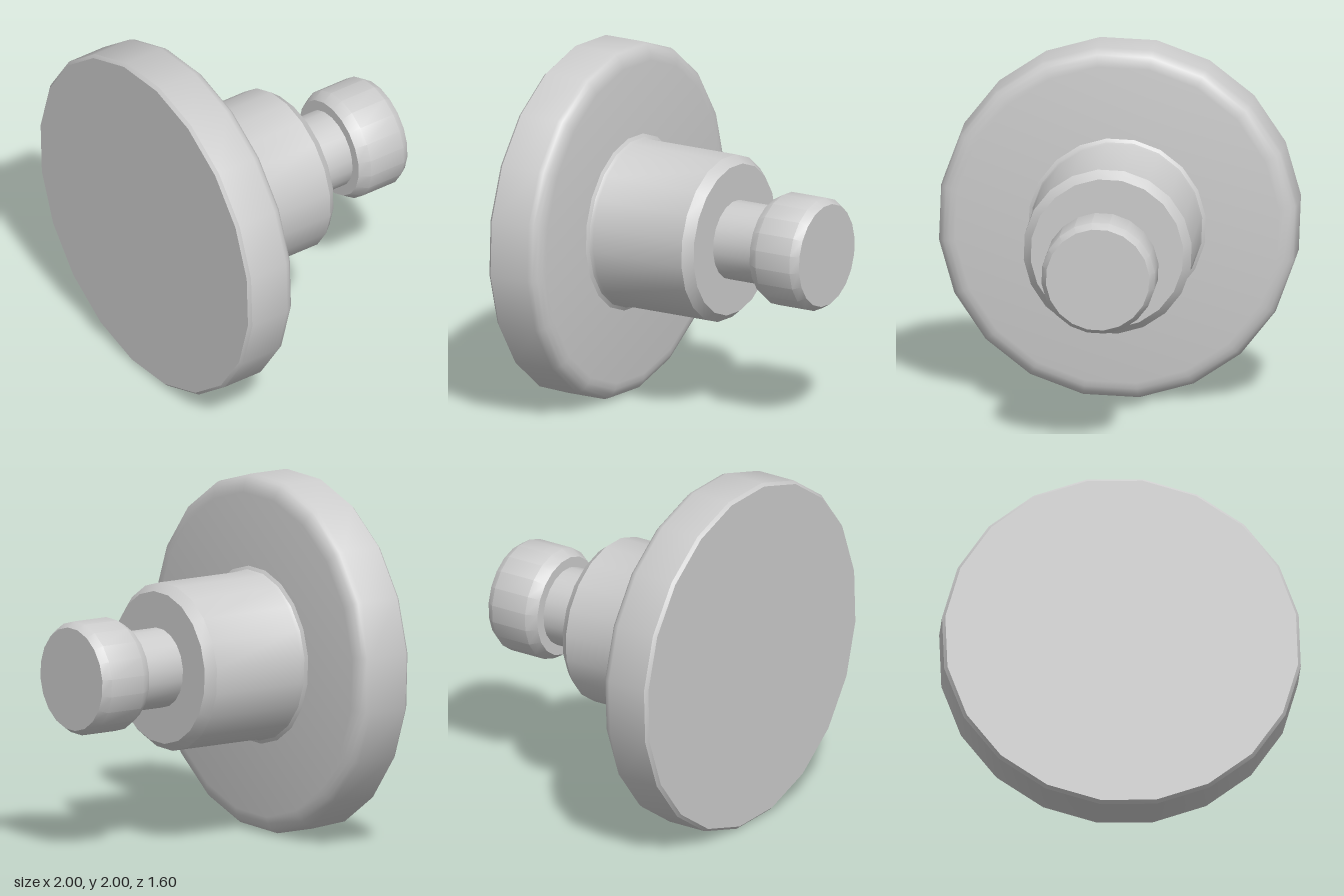
import * as THREE from 'three';
import { toCreasedNormals } from 'three/addons/utils/BufferGeometryUtils.js';

const SIDES = 20;
const TURN = THREE.MathUtils.degToRad(11.2); // where the first corner of the polygon sits

export function createModel() {
  const group = new THREE.Group();
  group.name = 'knob';
  const material = new THREE.MeshStandardMaterial({ color: 0xcccccc });

  // Turned part: profile of [radius, z] from back to front, around the z axis
  function turned(name, profile) {
    const points = profile.map(([r, z]) => new THREE.Vector2(r, z));
    const lathe = new THREE.LatheGeometry(points, SIDES, TURN, Math.PI * 2);
    lathe.rotateX(Math.PI / 2);
    const mesh = new THREE.Mesh(toCreasedNormals(lathe, THREE.MathUtils.degToRad(35)), material);
    mesh.name = name;
    mesh.position.y = 1;
    group.add(mesh);
  }

  // Small bevelled knob at the back
  turned('endCap', [[0, -0.8], [0.29, -0.8], [0.319, -0.755], [0.319, -0.53], [0.283, -0.47], [0, -0.47]]);

  // Narrow neck
  turned('neck', [[0.224, -0.48], [0.224, -0.18]]);

  // Thick collar, bevelled at the back, with a small fillet onto the disc
  turned('collar', [[0, -0.193], [0.428, -0.193], [0.472, -0.14], [0.472, 0.44], [0.48, 0.46], [0.5, 0.473]]);

  // Large front disc with a rounded back rim and a slight front bevel
  turned('disc', [
    [0, 0.472], [0.91, 0.472], [0.945, 0.478], [0.975, 0.492], [0.997, 0.513],
    [1.007, 0.54], [1.007, 0.78], [0.99, 0.798], [0, 0.798],
  ]);

  return group;
}
